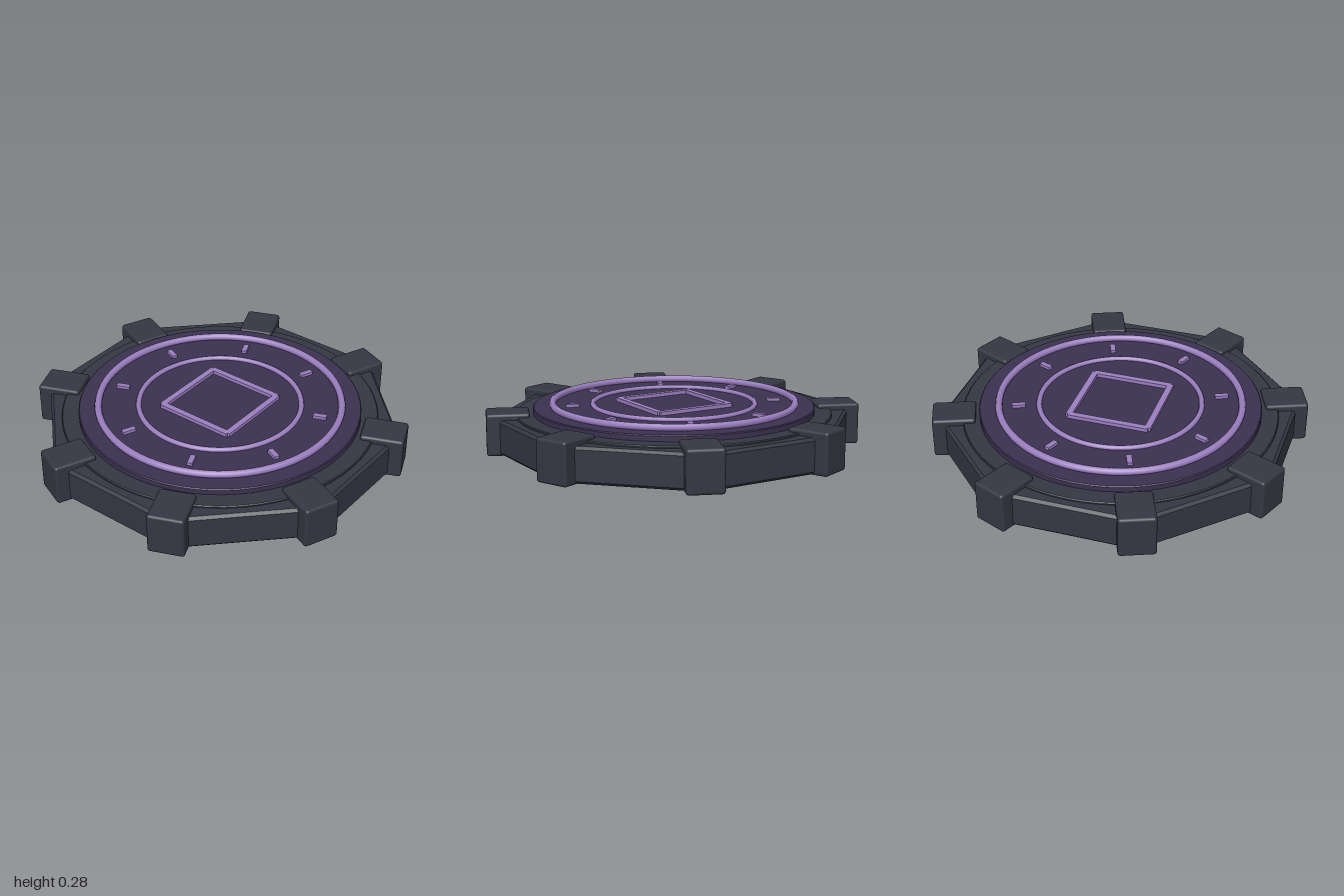
import * as THREE from 'three';
import { toCreasedNormals } from 'three/addons/utils/BufferGeometryUtils.js';
import { RoundedBoxGeometry } from 'three/addons/geometries/RoundedBoxGeometry.js';

const mat = (color) => new THREE.MeshStandardMaterial({ color });

export function createModel() {
  const group = new THREE.Group();
  group.name = 'floorPad';
  const stone = mat(0x343742);
  const plate = mat(0x3b3150);
  const glow = mat(0x9b7fc0);

  const add = (name, geometry, material, x = 0, y = 0, z = 0, turn = 0) => {
    const mesh = new THREE.Mesh(geometry, material);
    mesh.name = name;
    mesh.position.set(x, y, z);
    mesh.rotation.y = turn;
    group.add(mesh);
    return mesh;
  };
  const turned = (points, sides, start = 0) => toCreasedNormals(
    new THREE.LatheGeometry(points.map(([r, y]) => new THREE.Vector2(r, y)), sides, start), 0.4);

  // Octagonal base with bevelled edges, flat sides facing the axes
  const k = 1 / Math.cos(Math.PI / 8);
  add('base', turned([
    [0, 0.005], [0.925 * k, 0.005], [0.94 * k, 0.02], [0.94 * k, 0.185], [0.925 * k, 0.2], [0, 0.2],
  ], 8, Math.PI / 8), stone);

  // Low round step and the plate on it
  add('step', turned([[0.885, 0.19], [0.885, 0.207], [0.88, 0.212], [0, 0.212]], 64), stone);
  add('plate', turned([
    [0.785, 0.2], [0.79, 0.205], [0.79, 0.24], [0.785, 0.245], [0, 0.245],
  ], 64), plate);

  // Raised rings
  for (const [name, radius, tube, y] of [['outerRing', 0.68, 0.02, 0.26], ['innerRing', 0.455, 0.015, 0.25]]) {
    add(name, new THREE.TorusGeometry(radius, tube, 8, 80).rotateX(Math.PI / 2), glow, 0, y, 0);
  }

  // Corner blocks and the tick marks in line with them
  const block = new RoundedBoxGeometry(0.24, 0.235, 0.2, 3, 0.016);
  const tick = new THREE.BoxGeometry(0.075, 0.02, 0.03);
  for (let i = 0; i < 8; i++) {
    const a = (i + 0.5) * Math.PI / 4;
    const c = Math.cos(a), s = Math.sin(a);
    add('cornerBlock', block, stone, 0.93 * c, 0.1175, 0.93 * s, -a);
    add('tick', tick, glow, 0.57 * c, 0.252, 0.57 * s, -a);
  }

  // Diamond made of four bars
  const bar = new THREE.BoxGeometry(0.035, 0.025, 0.46);
  for (let i = 0; i < 4; i++) {
    const a = (i + 0.5) * Math.PI / 2;
    add('diamondBar', bar, glow, 0.226 * Math.cos(a), 0.253, 0.226 * Math.sin(a), -a);
  }
  return group;
}
